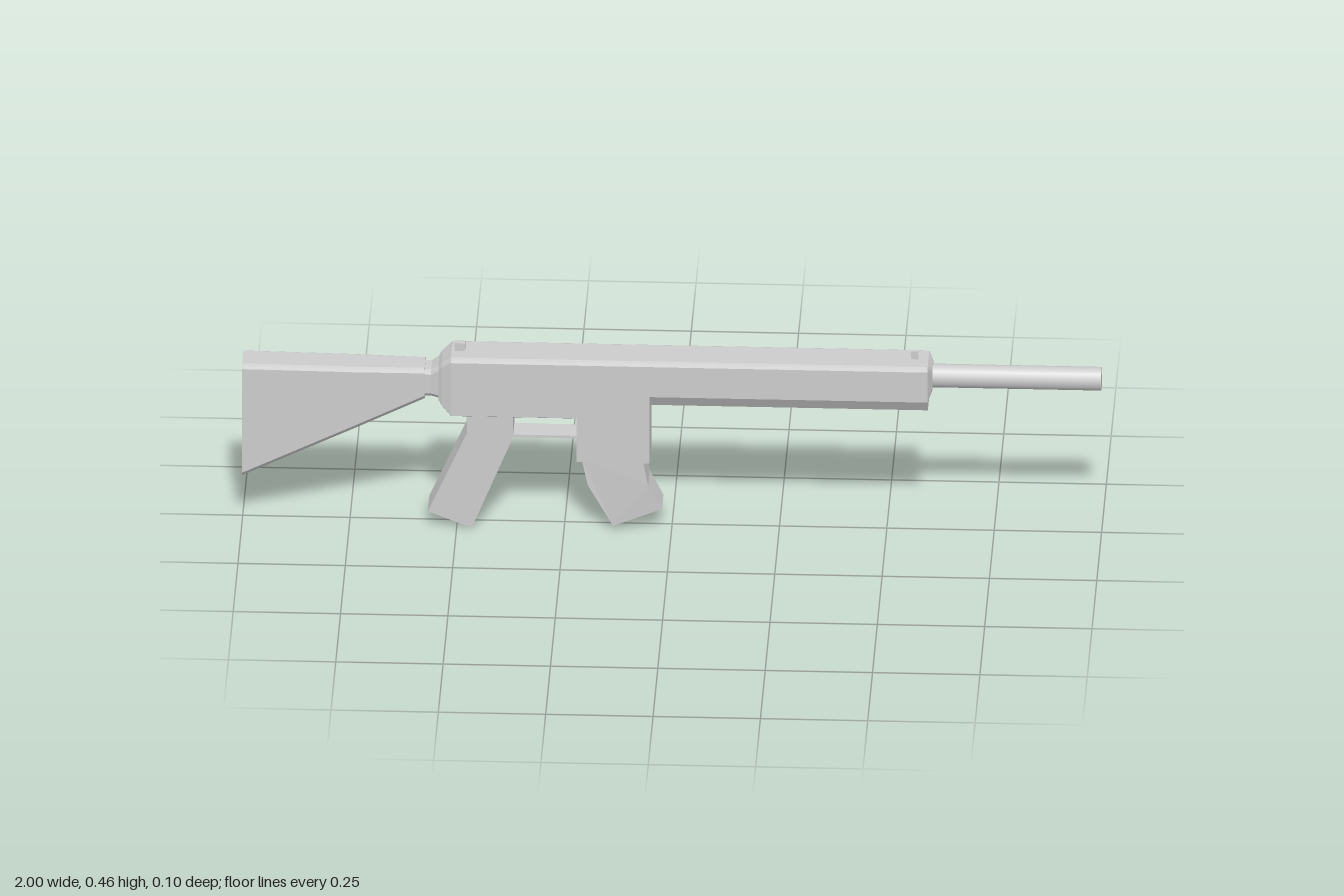
import * as THREE from 'three';

const material = new THREE.MeshStandardMaterial({ color: 0xcccccc, flatShading: true });
const smooth = new THREE.MeshStandardMaterial({ color: 0xcccccc });

// Bevelled cross-section at x: y range, half width, top bevel, bottom bevel height and inset.
function section(x, y0, y1, w, top = 0.01, bottom = 0.001, inset = bottom) {
  const half = [[y1, w - top], [y1 - top * 0.3, w - top * 0.3], [y1 - top, w], [y0 + bottom, w], [y0, w - inset]];
  const mirror = half.map(([y, z]) => [y, -z]).reverse();
  return [...half, ...mirror].map(([y, z]) => new THREE.Vector3(x, y, z));
}

// Skin between sections ordered from -x to +x, with both ends capped.
function loft(rings) {
  const points = [];
  const n = rings[0].length;
  for (let i = 0; i < rings.length - 1; i++) {
    for (let j = 0; j < n; j++) {
      const k = (j + 1) % n;
      const a = rings[i][j], b = rings[i][k], c = rings[i + 1][k], d = rings[i + 1][j];
      points.push(a, b, c, a, c, d);
    }
  }
  const first = rings[0], last = rings[rings.length - 1];
  for (let j = 1; j < n - 1; j++) {
    points.push(first[0], first[j + 1], first[j], last[0], last[j], last[j + 1]);
  }
  const geometry = new THREE.BufferGeometry().setFromPoints(points);
  geometry.computeVertexNormals();
  return geometry;
}

// Side profile extruded symmetrically about z = 0.
function slab(profile, halfWidth) {
  const shape = new THREE.Shape(profile.map(([x, y]) => new THREE.Vector2(x, y)));
  return new THREE.ExtrudeGeometry(shape, { depth: halfWidth * 2, bevelEnabled: false })
    .translate(0, 0, -halfWidth);
}

function box(x0, x1, y0, y1, halfWidth) {
  return new THREE.BoxGeometry(x1 - x0, y1 - y0, halfWidth * 2)
    .translate((x0 + x1) / 2, (y0 + y1) / 2, 0);
}

export function createModel() {
  const model = new THREE.Group();
  const add = (name, geometry, mat = material) => {
    const mesh = new THREE.Mesh(geometry, mat);
    mesh.name = name;
    model.add(mesh);
    return mesh;
  };

  // Main body
  add('receiver', loft([
    section(-0.543, 0.33, 0.415, 0.038),
    section(-0.535, 0.318, 0.425, 0.044),
    section(-0.513, 0.295, 0.443, 0.0525),
    section(-0.05, 0.295, 0.443, 0.0525),
  ]));
  add('handguard', loft([
    section(-0.05, 0.326, 0.443, 0.0525, 0.01, 0.029, 0.018),
    section(0.597, 0.326, 0.443, 0.0525, 0.01, 0.029, 0.018),
  ]));
  add('barrelCollar', loft([
    section(0.597, 0.355, 0.443, 0.0525),
    section(0.607, 0.37, 0.43, 0.028, 0.012, 0.012),
  ]));

  // Barrel, slightly taller than wide
  const barrel = add('barrel', new THREE.CylinderGeometry(0.028, 0.028, 0.41, 16), smooth);
  barrel.rotation.z = -Math.PI / 2;
  barrel.scale.z = 0.94;
  barrel.position.set(0.795, 0.4, 0);

  // Shoulder stock and its neck
  add('stock', loft([
    section(-1, 0.12, 0.412, 0.043, 0.01, 0.012),
    section(-0.74, 0.247, 0.409, 0.042, 0.01, 0.012),
    section(-0.575, 0.327, 0.407, 0.037, 0.01, 0.012),
  ]));
  add('stockNeck', loft([
    section(-0.58, 0.333, 0.402, 0.033, 0.01, 0.01),
    section(-0.56, 0.333, 0.402, 0.033, 0.01, 0.01),
    section(-0.54, 0.33, 0.415, 0.038, 0.01, 0.01),
  ]));

  // Grip and guard
  add('grip', slab([
    [-0.476, 0.3], [-0.476, 0.246], [-0.567, 0.041],
    [-0.465, 0], [-0.369, 0.237], [-0.369, 0.3],
  ], 0.042));
  add('triggerGuard', box(-0.375, -0.215, 0.232, 0.239, 0.03));

  // Magazine housing and curved magazine, narrowing towards the foot
  add('magazineWell', box(-0.22, -0.05, 0.182, 0.33, 0.0525));
  const magazine = slab([
    [-0.21, 0.19], [-0.195, 0.118], [-0.136, 0.01],
    [-0.022, 0.057], [-0.054, 0.118], [-0.068, 0.19],
  ], 0.042);
  const p = magazine.attributes.position;
  for (let i = 0; i < p.count; i++) {
    p.setZ(i, p.getZ(i) * (p.getY(i) < 0.1 ? 0.89 : 1));
  }
  magazine.computeVertexNormals();
  add('magazine', magazine);

  // Sights
  add('rearSight', box(-0.507, -0.482, 0.44, 0.463, 0.008));
  add('frontSight', box(0.556, 0.574, 0.44, 0.463, 0.004));

  return model;
}
